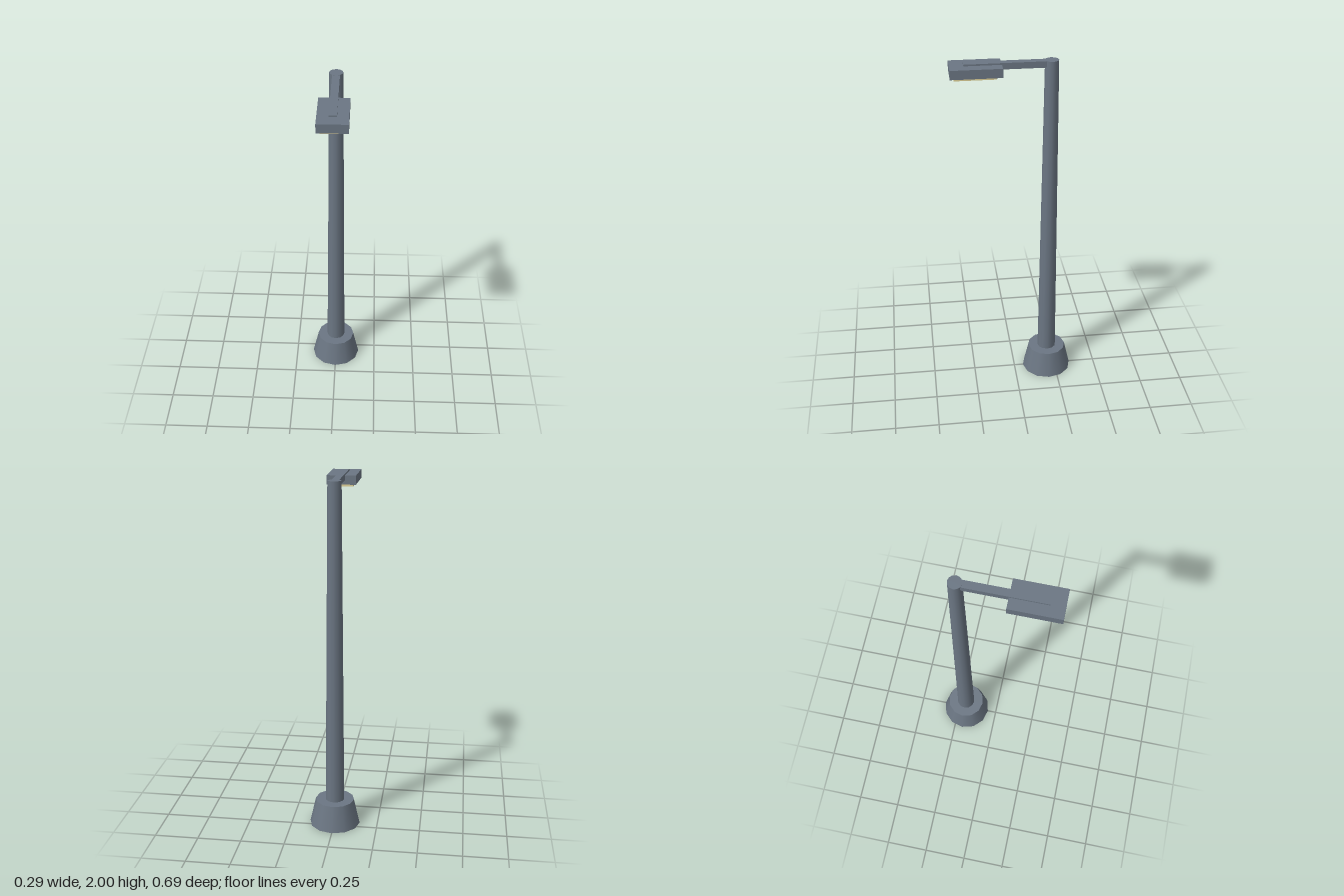
import * as THREE from 'three';

export function createModel() {
  const group = new THREE.Group();
  const metal = new THREE.MeshStandardMaterial({ color: 0x6b7683 });
  metal.name = 'slate metal';
  const glow = new THREE.MeshStandardMaterial({ color: 0xe0d298 });
  glow.name = 'pale yellow lens';

  const add = (name, geometry, material, x, y, z) => {
    const mesh = new THREE.Mesh(geometry, material);
    mesh.name = name;
    mesh.position.set(x, y, z);
    group.add(mesh);
  };
  const poleZ = -0.2;

  // Tapered 12-sided foot and pole
  add('base', new THREE.CylinderGeometry(0.112, 0.146, 0.15, 12), metal, 0, 0.075, poleZ);
  add('pole', new THREE.CylinderGeometry(0.038, 0.055, 1.9, 12), metal, 0, 1.05, poleZ);

  // Arm reaching forward from the pole top
  add('arm', new THREE.BoxGeometry(0.042, 0.035, 0.47), metal, 0, 1.9815, 0.035);

  // Lamp head with the lens beneath it
  add('lampHead', new THREE.BoxGeometry(0.164, 0.05, 0.278), metal, 0, 1.965, 0.207);
  add('lens', new THREE.BoxGeometry(0.128, 0.016, 0.226), glow, 0, 1.934, 0.212);

  return group;
}
